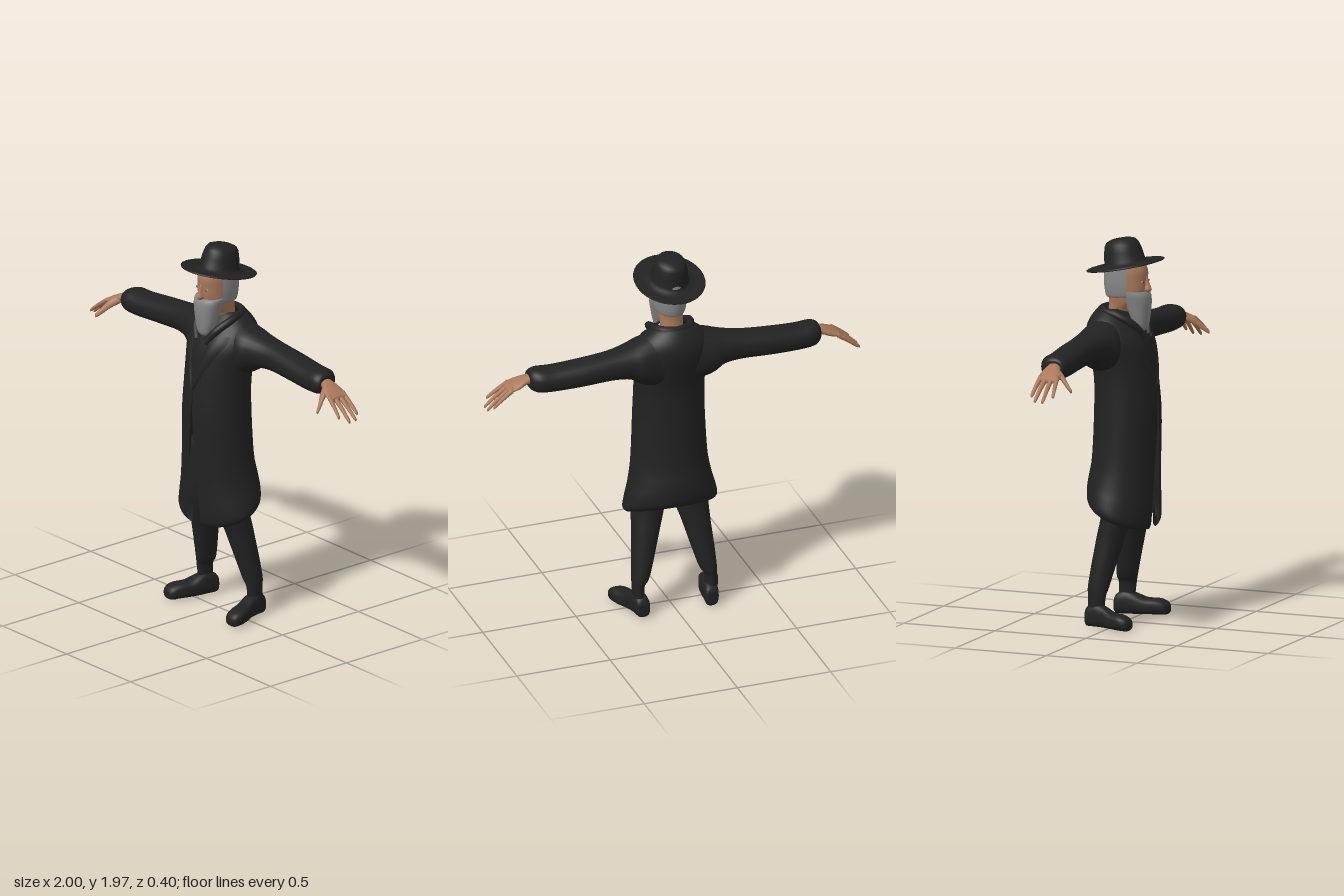
import * as THREE from 'three';

const mat = (name, color, side = THREE.FrontSide) => {
  const m = new THREE.MeshStandardMaterial({ color, side });
  m.name = name;
  return m;
};

// Catmull-Rom resampling of a table of cross-sections
function smooth(rows, k = 4) {
  const out = [];
  for (let i = 0; i < rows.length - 1; i++) {
    const a = rows[i], b = rows[i + 1];
    const p = rows[Math.max(i - 1, 0)], n = rows[Math.min(i + 2, rows.length - 1)];
    for (let s = 0; s < k; s++) {
      const t = s / k;
      out.push(a.map((v, j) => {
        const c1 = b[j] - p[j];
        const c2 = 2 * p[j] - 5 * v + 4 * b[j] - n[j];
        const c3 = 3 * (v - b[j]) + n[j] - p[j];
        return v + 0.5 * t * (c1 + t * (c2 + t * c3));
      }));
    }
  }
  out.push(rows[rows.length - 1]);
  return out;
}

function build(positions, index) {
  const g = new THREE.BufferGeometry();
  g.setAttribute('position', new THREE.Float32BufferAttribute(positions, 3));
  g.setIndex(index);
  g.computeVertexNormals();
  return g;
}

// Capped body from sections [t, aMin, aMax, bMin, bMax]; (a, b) is (x, z), (z, y) or (y, x) for axis y, x or z
function loft(axis, table, power = 1, seg = 24) {
  const rows = smooth(table), pos = [], idx = [];
  const put = (t, a, b) => pos.push(...(axis === 'y' ? [a, t, b] : axis === 'x' ? [t, b, a] : [b, a, t]));
  const bend = (v) => Math.sign(v) * Math.abs(v) ** power;
  rows.forEach(([t, a0, a1, b0, b1]) => {
    for (let j = 0; j < seg; j++) {
      const q = (j / seg) * Math.PI * 2;
      put(t, (a0 + a1) / 2 + (a1 - a0) / 2 * bend(Math.cos(q)), (b0 + b1) / 2 + (b1 - b0) / 2 * bend(Math.sin(q)));
    }
  });
  const n = rows.length, ends = [rows[0], rows[n - 1]];
  ends.forEach(([t, a0, a1, b0, b1]) => put(t, (a0 + a1) / 2, (b0 + b1) / 2));
  for (let j = 0; j < seg; j++) {
    const k = (j + 1) % seg;
    for (let i = 0; i < n - 1; i++) {
      const a = i * seg + j, b = i * seg + k;
      idx.push(a, a + seg, b, b, a + seg, b + seg);
    }
    idx.push(n * seg, j, k, n * seg + 1, (n - 1) * seg + k, (n - 1) * seg + j);
  }
  return build(pos, idx);
}

// Open upright shell from rows [y, rx, zFront, zBack, tilt, gapAngle], parted at the front
function shell(rows, seg = 48) {
  const pos = [], idx = [];
  rows.forEach(([y, rx, zf, zb, tilt, gap]) => {
    for (let j = 0; j <= seg; j++) {
      const q = gap + (j / seg) * (Math.PI * 2 - 2 * gap);
      pos.push(rx * Math.sin(q), y - tilt * Math.cos(q), (zf + zb) / 2 + (zf - zb) / 2 * Math.cos(q));
    }
  });
  for (let i = 0; i < rows.length - 1; i++) for (let j = 0; j < seg; j++) {
    const a = i * (seg + 1) + j, c = a + seg + 1;
    idx.push(a, a + 1, c, a + 1, c + 1, c);
  }
  return build(pos, idx);
}

function mirrored(geometry) {
  const g = geometry.clone(), p = g.attributes.position, ix = g.index;
  for (let i = 0; i < p.count; i++) p.setX(i, -p.getX(i));
  for (let i = 0; i < ix.count; i += 3) {
    const a = ix.getX(i);
    ix.setX(i, ix.getX(i + 1));
    ix.setX(i + 1, a);
  }
  g.computeVertexNormals();
  return g;
}

export function createModel() {
  const model = new THREE.Group();
  const black = mat('black cloth', 0x222222, THREE.DoubleSide);
  const skin = mat('skin', 0xa9785a);
  const grey = mat('grey hair', 0x868686, THREE.DoubleSide);
  const eyeMat = mat('eye', 0x9aa0a8);
  const white = mat('shirt white', 0xc8c8c8);
  const add = (name, geometry, material) => {
    const m = new THREE.Mesh(geometry, material);
    m.name = name;
    model.add(m);
    return m;
  };
  const pair = (name, geometry, material) => {
    add('left' + name, geometry, material);
    add('right' + name, mirrored(geometry), material);
  };

  // Long coat with slanted hem and front opening
  const coat = smooth([
    [0.63, 0.21, 0.135, -0.145, 0.06, 0.2],
    [0.565, 0.215, 0.135, -0.14, 0.06, 0.2],
    [0.55, 0.228, 0.15, -0.155, 0.06, 0.2],
    [0.58, 0.247, 0.165, -0.178, 0.06, 0.2],
    [0.64, 0.237, 0.17, -0.185, 0.05, 0.2],
    [0.72, 0.216, 0.172, -0.18, 0.03, 0.18],
    [0.84, 0.197, 0.175, -0.164, 0.01, 0.14],
    [1.08, 0.185, 0.18, -0.155, 0, 0.04],
    [1.25, 0.182, 0.165, -0.155, 0, 0],
    [1.36, 0.19, 0.15, -0.175, 0, 0],
    [1.44, 0.205, 0.13, -0.192, 0, 0],
    [1.50, 0.195, 0.10, -0.195, 0, 0],
    [1.55, 0.165, 0.06, -0.18, 0, 0],
    [1.595, 0.11, 0.02, -0.15, 0, 0],
    [1.61, 0.08, 0, -0.13, 0, 0],
  ]);
  add('coat', shell(coat), black);

  // Lapels laid over the chest
  const coatZ = (x, y) => {
    const i = coat.findIndex((r, k) => k > 24 && r[0] >= y);
    const f = (y - coat[i - 1][0]) / (coat[i][0] - coat[i - 1][0]);
    const [, rx, zf, zb] = coat[i].map((v, j) => coat[i - 1][j] + f * (v - coat[i - 1][j]));
    return (zf + zb) / 2 + (zf - zb) / 2 * Math.sqrt(Math.max(0, 1 - (x / rx) ** 2));
  };
  const lapel = new THREE.PlaneGeometry(1, 1, 6, 16);
  const lp = lapel.attributes.position;
  for (let i = 0; i < lp.count; i++) {
    const u = lp.getX(i) + 0.5, v = lp.getY(i) + 0.5;
    const inner = 0.07 * v, outer = 0.005 + 0.14 * Math.min(1, v * 1.15);
    const x = inner + u * (outer - inner), y = 1.22 + 0.32 * v - 0.03 * u * v;
    lp.setXYZ(i, x, y, coatZ(x, y) + 0.004 + 0.008 * Math.sin(Math.PI * u));
  }
  lapel.computeVertexNormals();
  pair('Lapel', lapel, black);

  // Turned collar round the neck
  const half = [[0.03, 1.47, 0.115], [0.08, 1.54, 0.075], [0.103, 1.585, 0], [0.075, 1.6, -0.09]];
  const path = [...half, [0, 1.6, -0.12], ...half.map(([x, y, z]) => [-x, y, z]).reverse()];
  const collarCurve = new THREE.CatmullRomCurve3(path.map((p) => new THREE.Vector3(...p)));
  add('collar', new THREE.TubeGeometry(collarCurve, 48, 0.02, 10), black);
  add('shirtCollar', loft('y', [
    [1.5, -0.07, 0.07, -0.1, 0.07], [1.56, -0.068, 0.068, -0.1, 0.055], [1.585, -0.06, 0.06, -0.095, 0.03],
  ]), white);

  // Sleeves
  pair('Sleeve', loft('x', [
    [0.06, -0.165, 0.03, 1.28, 1.59], [0.18, -0.18, 0.05, 1.31, 1.552], [0.25, -0.17, 0.025, 1.355, 1.532],
    [0.35, -0.165, 0, 1.37, 1.515], [0.5, -0.165, 0, 1.365, 1.5], [0.65, -0.155, 0.008, 1.36, 1.488],
    [0.73, -0.145, 0.01, 1.363, 1.49], [0.765, -0.122, 0, 1.375, 1.48], [0.778, -0.105, -0.01, 1.39, 1.465],
  ], 0.9), black);

  // Hands: palm, four fingers and thumb
  pair('Palm', loft('x', [
    [0.74, -0.09, -0.025, 1.41, 1.46], [0.79, -0.09, -0.015, 1.405, 1.452], [0.83, -0.1, 0.008, 1.39, 1.435],
    [0.87, -0.1, 0.018, 1.38, 1.415], [0.895, -0.095, 0.012, 1.373, 1.398],
  ]), skin);
  const fingers = [[-0.086, -0.092, 0.975], [-0.056, -0.064, 0.998], [-0.025, -0.022, 1], [0.002, 0.024, 0.972]];
  fingers.forEach(([z0, z1, tip], i) => {
    const sections = [[0, 0.0135], [0.5, 0.011], [0.95, 0.008], [1, 0.003]].map(([t, r]) => {
      const d = t * (tip - 0.87), z = z0 + t * (z1 - z0), y = 1.398 - 0.65 * d - 1.1 * d * d;
      return [0.87 + d, z - r, z + r, y - r * 1.2, y + r * 1.2];
    });
    pair('Finger' + (i + 1), loft('x', sections, 1, 10), skin);
  });
  pair('Thumb', loft('z', [
    [-0.025, 1.395, 1.44, 0.785, 0.835], [0.015, 1.375, 1.415, 0.81, 0.85], [0.045, 1.35, 1.383, 0.835, 0.862],
    [0.075, 1.328, 1.352, 0.856, 0.874], [0.082, 1.328, 1.342, 0.861, 0.872],
  ], 1, 12), skin);

  // Trousers and shoes
  pair('Trouser', loft('y', [
    [0.08, 0.165, 0.222, -0.12, -0.035], [0.16, 0.162, 0.225, -0.12, -0.025], [0.2, 0.137, 0.226, -0.125, -0.015],
    [0.3, 0.105, 0.22, -0.115, 0.01], [0.45, 0.062, 0.208, -0.095, 0.05], [0.6, 0.02, 0.2, -0.075, 0.09],
    [0.9, -0.01, 0.16, -0.08, 0.09],
  ]), black);
  pair('Shoe', loft('z', [
    [-0.137, 0.015, 0.07, 0.16, 0.205], [-0.125, 0, 0.1, 0.148, 0.22], [-0.08, 0, 0.12, 0.15, 0.23],
    [-0.03, 0, 0.108, 0.155, 0.243], [0.02, 0, 0.085, 0.165, 0.268], [0.08, 0, 0.08, 0.185, 0.29],
    [0.12, 0, 0.065, 0.202, 0.285], [0.135, 0.012, 0.045, 0.22, 0.265],
  ], 0.75), black);

  // Head, hair and beard
  add('head', loft('y', [
    [1.5, -0.055, 0.055, -0.1, 0.02], [1.6, -0.057, 0.057, -0.088, 0.025], [1.65, -0.066, 0.066, -0.085, 0.09],
    [1.7, -0.075, 0.075, -0.092, 0.113], [1.76, -0.078, 0.078, -0.1, 0.116], [1.81, -0.078, 0.078, -0.1, 0.116],
    [1.87, -0.07, 0.07, -0.09, 0.09],
  ], 0.9), skin);
  add('hair', shell(smooth([
    [1.672, 0.073, 0.115, -0.09, -0.012, 1.35], [1.685, 0.081, 0.118, -0.104, -0.01, 1.3],
    [1.75, 0.086, 0.12, -0.114, 0, 1.25], [1.86, 0.08, 0.11, -0.108, 0, 1.2],
  ])), grey);
  add('beard', loft('y', [
    [1.5, -0.022, 0.022, 0.075, 0.11], [1.52, -0.042, 0.042, 0.055, 0.122], [1.58, -0.06, 0.06, 0.03, 0.13],
    [1.64, -0.072, 0.072, 0.008, 0.134], [1.68, -0.08, 0.08, 0, 0.129], [1.7, -0.08, 0.08, 0, 0.116],
  ], 0.85), grey);
  add('nose', loft('y', [
    [1.695, -0.008, 0.008, 0.1, 0.128], [1.71, -0.018, 0.018, 0.09, 0.143], [1.735, -0.012, 0.012, 0.09, 0.134],
    [1.775, -0.008, 0.008, 0.09, 0.119],
  ], 1, 14), skin);
  pair('Eye', new THREE.SphereGeometry(1, 12, 8).scale(0.011, 0.006, 0.005).translate(0.035, 1.752, 0.108), eyeMat);
  pair('Pupil', new THREE.SphereGeometry(1, 10, 6).scale(0.005, 0.005, 0.003).translate(0.035, 1.752, 0.112), black);

  // Wide-brimmed hat, tipped back
  const profile = [[0.07, -0.012], [0.12, -0.008], [0.175, -0.003], [0.19, 0], [0.192, 0.005], [0.186, 0.008], [0.14, 0.005],
    [0.11, 0.01], [0.1, 0.024], [0.094, 0.07], [0.084, 0.11], [0.072, 0.128], [0.045, 0.138], [0.001, 0.14]];
  const hatShape = new THREE.LatheGeometry(profile.map((p) => new THREE.Vector2(...p)), 48).scale(0.94, 1, 1.06);
  const hat = add('hat', hatShape, black);
  hat.position.y = 1.825;
  hat.rotation.x = -0.195;
  return model;
}
